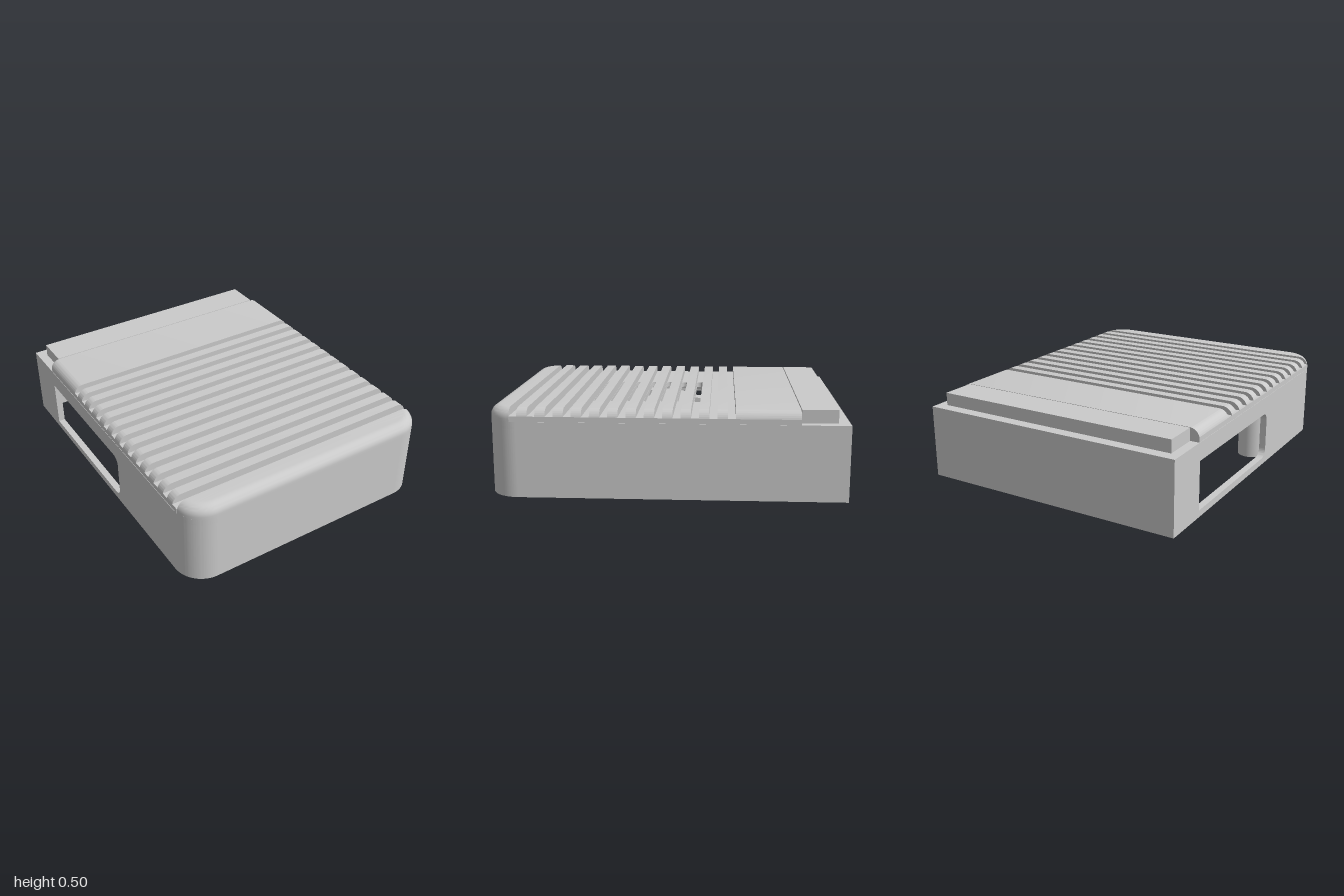
import * as THREE from 'three';
import { toCreasedNormals } from 'three/addons/utils/BufferGeometryUtils.js';

const W = 0.8, CORNER = 0.17, WALL = 0.04;   // half width, plan corner radius, wall thickness
const CEIL = 0.39, STEP = 0.43, FLOOR = 0.46, TOP = 0.505; // heights
const FILLET = 0.06, SPRING = TOP - FILLET;  // top edge rounding and where it starts
const CX = W - CORNER, CZ = 1 - CORNER;
const FAN_Z = 0.163, GROOVE = 0.044, PITCH = 0.1;
const PI = Math.PI;

// Upright extrusion of a plan shape drawn in (x, -z)
function plan(shape, y0, y1) {
  const g = new THREE.ExtrudeGeometry(shape, { depth: y1 - y0, bevelEnabled: false, curveSegments: 24 });
  g.rotateX(-PI / 2).translate(0, y0, 0);
  return toCreasedNormals(g, 0.5);
}

function disc(x, z, r, Type = THREE.Shape) {
  const s = new Type();
  s.absarc(x, -z, r, 0, 2 * PI, false);
  return s;
}

function rect(x0, y0, x1, y1) {
  return new THREE.Shape([[x0, y0], [x1, y0], [x1, y1], [x0, y1]].map(p => new THREE.Vector2(...p)));
}

// Capsule-shaped cooling slot
function slot(z, half, r) {
  const p = new THREE.Path();
  p.absarc(half - r, -z, r, -PI / 2, PI / 2, false);
  p.absarc(-half + r, -z, r, PI / 2, 1.5 * PI, false);
  p.closePath();
  return p;
}

// Opening with square rear corners and rounded front corners
function windowHole(x0, y0, x1, y1, r) {
  const p = new THREE.Path();
  p.moveTo(x0, y0);
  p.lineTo(x1 - r, y0);
  p.absarc(x1 - r, y0 + r, r, -PI / 2, 0, false);
  p.absarc(x1 - r, y1 - r, r, 0, PI / 2, false);
  p.lineTo(x0, y1);
  p.closePath();
  return p;
}

// Top strip with rounded shoulders, running across the case
function ribGeometry(z0, z1) {
  const a = Math.asin((FLOOR - SPRING) / FILLET);
  const s = new THREE.Shape();
  s.absarc(W - FILLET, SPRING, FILLET, a, PI / 2, false);
  s.absarc(FILLET - W, SPRING, FILLET, PI / 2, PI - a, false);
  s.closePath();
  const g = new THREE.ExtrudeGeometry(s, { depth: z1 - z0, bevelEnabled: false, curveSegments: 10 });
  g.translate(0, 0, z0);
  return toCreasedNormals(g, 0.5);
}

// Rounded front edge: plan outlines stacked up a short wall and the fillet
function noseGeometry(zBack) {
  const rows = 11, seg = 14, cols = 2 * (seg + 1), pos = [], idx = [];
  for (let i = 0; i <= rows; i++) {
    const t = (Math.max(i - 1, 0) / (rows - 1)) * PI / 2;
    const y = i === 0 ? STEP : SPRING + FILLET * Math.sin(t);
    const r = CORNER - FILLET * (1 - Math.cos(t));
    const a0 = Math.asin((zBack - CZ) / r);
    for (let j = 0; j < cols; j++) {
      const right = j <= seg;
      const k = right ? j / seg : (cols - 1 - j) / seg;
      const a = a0 + k * (PI / 2 - a0);
      pos.push((right ? 1 : -1) * (CX + r * Math.cos(a)), y, CZ + r * Math.sin(a));
    }
  }
  for (let i = 0; i < rows; i++) {
    const b = i * cols, t = b + cols;
    for (let j = 0; j < cols - 1; j++) {
      idx.push(b + j, t + j, b + j + 1, b + j + 1, t + j, t + j + 1);
    }
    idx.push(b, b + cols - 1, t, b + cols - 1, t + cols - 1, t); // back face
  }
  const last = rows * cols, centre = pos.length / 3;
  pos.push(0, TOP, zBack);
  for (let j = 0; j < cols - 1; j++) idx.push(centre, last + j + 1, last + j);
  const g = new THREE.BufferGeometry();
  g.setAttribute('position', new THREE.Float32BufferAttribute(pos, 3));
  g.setIndex(idx);
  return toCreasedNormals(g, 0.5);
}

export function createModel() {
  const model = new THREE.Group();
  const grey = new THREE.MeshStandardMaterial({ color: 0xcacaca });
  grey.name = 'grey plastic';
  const add = (name, geometry) => {
    const m = new THREE.Mesh(geometry, grey);
    m.name = name;
    model.add(m);
    return m;
  };

  // Front, right and back walls in one C-shaped run
  const inner = W - WALL, ri = CORNER - WALL, gapZ = 0.3;
  const c = new THREE.Shape();
  c.moveTo(-W, -gapZ);
  c.lineTo(-W, -CZ);
  c.absarc(-CX, -CZ, CORNER, PI, 1.5 * PI, false);
  c.absarc(CX, -CZ, CORNER, -PI / 2, 0, false);
  c.lineTo(W, 1);
  c.lineTo(-W, 1);
  c.lineTo(-W, 1 - WALL);
  c.lineTo(inner, 1 - WALL);
  c.absarc(CX, -CZ, ri, 0, -PI / 2, true);
  c.absarc(-CX, -CZ, ri, -PI / 2, -PI, true);
  c.lineTo(-inner, -gapZ);
  c.closePath();
  add('outerWalls', plan(c, 0, CEIL));

  // Side wall with the connector opening, drawn in (z, y)
  const side = rect(-1 + WALL, 0, gapZ, CEIL);
  side.holes.push(windowHole(-0.72, 0.04, 0.18, 0.325, 0.05));
  const sideGeo = new THREE.ExtrudeGeometry(side, { depth: WALL, bevelEnabled: false });
  sideGeo.rotateY(-PI / 2).translate(-inner, 0, 0);
  add('windowWall', toCreasedNormals(sideGeo, 0.5));

  // Ceiling with a round fan recess and a small one by the stud
  const deck = new THREE.Shape();
  deck.moveTo(W, 1);
  deck.lineTo(-W, 1);
  deck.absarc(-CX, -CZ, CORNER, PI, 1.5 * PI, false);
  deck.absarc(CX, -CZ, CORNER, -PI / 2, 0, false);
  deck.closePath();
  deck.holes.push(disc(0, FAN_Z, 0.55, THREE.Path), disc(-0.44, 0.75, 0.09, THREE.Path));
  add('ceiling', plan(deck, CEIL, STEP));

  // Groove floor with cooling slots
  const noseZ = 0.867, backZ = -0.73;
  const skin = rect(-0.798, -noseZ, 0.798, -backZ);
  for (let i = 0; i < 7; i++) skin.holes.push(slot(-0.154 + i * PITCH, 0.335, 0.02));
  add('slottedFloor', plan(skin, STEP, FLOOR));

  // Flat top panel, ribs and rounded nose
  const firstGroove = -0.377;
  add('topPanel', ribGeometry(backZ, firstGroove));
  for (let i = 0; i < 12; i++) {
    const z = firstGroove + i * PITCH;
    add('rib', ribGeometry(z + GROOVE, z + PITCH));
  }
  add('frontEdge', noseGeometry(noseZ));

  // Raised bar on the rear step
  const bar = add('rearBar', new THREE.BoxGeometry(1.49, TOP - STEP, 0.2));
  bar.position.set(0, (TOP + STEP) / 2, -0.835);

  // Fan hub with an off-centre hole, collar and three spokes
  const hub = disc(0, FAN_Z, 0.287);
  hub.holes.push(disc(-0.1, FAN_Z, 0.095, THREE.Path));
  add('fanHub', plan(hub, CEIL, STEP));
  const collar = disc(0, FAN_Z, 0.28);
  collar.holes.push(disc(0, FAN_Z, 0.24, THREE.Path));
  add('fanCollar', plan(collar, 0.22, CEIL));
  for (let i = 0; i < 3; i++) {
    const a = PI + i * 2 * PI / 3;
    const spoke = add('fanSpoke', new THREE.BoxGeometry(0.1, STEP - CEIL, 0.29));
    spoke.position.set(Math.sin(a) * 0.415, (STEP + CEIL) / 2, FAN_Z + Math.cos(a) * 0.415);
    spoke.rotation.y = a;
  }

  // Hollow screw posts
  for (const sign of [-1, 1]) {
    for (const [x, z] of [[0.668, 0.275], [0.65, 0.855]]) {
      const post = disc(sign * x, z, 0.083);
      post.holes.push(disc(sign * x, z, 0.028, THREE.Path));
      add('screwPost', plan(post, 0.005, CEIL));
    }
  }

  // Short stud under the ceiling near the front corner
  add('ceilingStud', plan(disc(-0.52, 0.73, 0.08), 0.36, STEP));
  return model;
}
